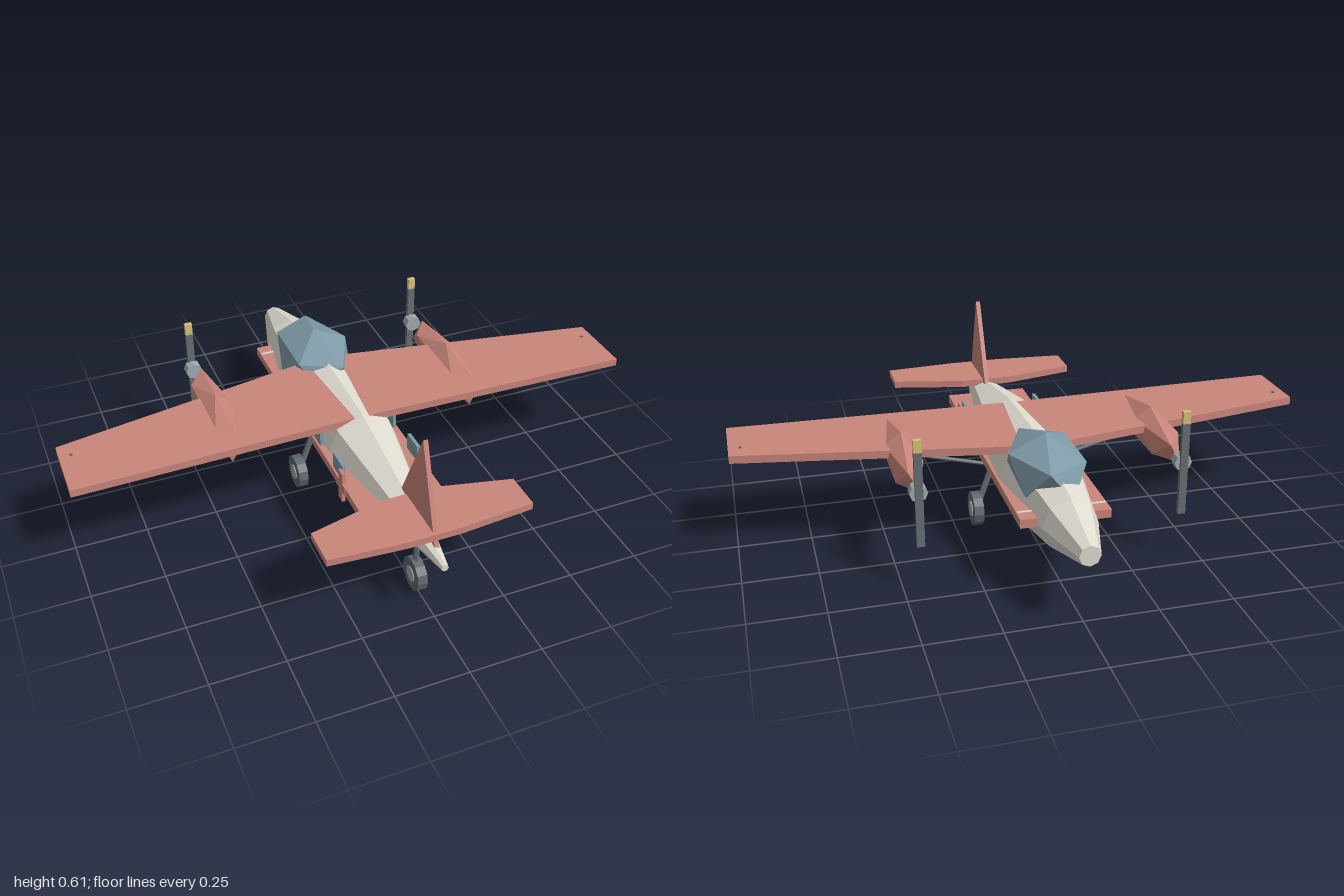
import * as THREE from 'three';
import { ConvexGeometry } from 'three/addons/geometries/ConvexGeometry.js';

const mat = (color) => new THREE.MeshStandardMaterial({ color, flatShading: true });

export function createModel() {
  const model = new THREE.Group();
  const red = mat(0xc9857a), cream = mat(0xdedbd0), glass = mat(0x7f9ba8);
  const dark = mat(0x666e73), rubber = mat(0x5f676c), metal = mat(0x9fabad), yellow = mat(0xd8c07a);

  const add = (name, geometry, material, x = 0, y = 0, z = 0) => {
    const mesh = new THREE.Mesh(geometry, material);
    mesh.name = name;
    mesh.position.set(x, y, z);
    model.add(mesh);
    return mesh;
  };
  const box = (name, material, w, h, d, x, y, z) =>
    add(name, new THREE.BoxGeometry(w, h, d), material, x, y, z);

  // Round bar between two points
  const bar = (name, a, b, r, material, sides = 6) => {
    const from = new THREE.Vector3(...a), to = new THREE.Vector3(...b);
    const dir = to.clone().sub(from);
    const mesh = add(name, new THREE.CylinderGeometry(r, r, dir.length(), sides), material);
    mesh.position.copy(from).add(to).multiplyScalar(0.5);
    mesh.quaternion.setFromUnitVectors(new THREE.Vector3(0, 1, 0), dir.normalize());
    return mesh;
  };

  // Flat mirrored plate from a half outline of [x, z] points
  const plate = (name, half, bottom, thickness) => {
    const outline = [...half, ...half.map(([x, z]) => [-x, z]).reverse()];
    const shape = new THREE.Shape(outline.map(([x, z]) => new THREE.Vector2(x, -z)));
    const g = new THREE.ExtrudeGeometry(shape, { depth: thickness, bevelEnabled: false });
    g.rotateX(-Math.PI / 2);
    add(name, g, red, 0, bottom, 0);
  };

  // Stretched icosahedron standing on a vertex
  const gem = (name, rx, ry, rz, material, x, y, z) => {
    const pts = [new THREE.Vector3(0, ry, 0), new THREE.Vector3(0, -ry, 0)];
    for (let i = 0; i < 10; i++) {
      const a = (i * Math.PI) / 5;
      const h = i % 2 ? -0.447 : 0.447;
      pts.push(new THREE.Vector3(0.894 * rx * Math.cos(a), h * ry, 0.894 * rz * Math.sin(a)));
    }
    add(name, new ConvexGeometry(pts), material, x, y, z);
  };

  // Eight-sided fuselage
  const profile = [[0, -0.8], [0.035, -0.8], [0.092, -0.6], [0.148, -0.26], [0.132, 0.15], [0.012, 0.8], [0, 0.8]];
  const hull = new THREE.LatheGeometry(profile.map(([r, z]) => new THREE.Vector2(r, z)), 8);
  hull.rotateX(Math.PI / 2);
  add('fuselage', hull, cream, 0, 0.255, 0);
  gem('canopy', 0.14, 0.11, 0.23, glass, 0.003, 0.345, -0.333);

  // Wing, tailplane and fin
  plate('wing', [[0.08, 0.14], [1, 0.16], [1, -0.08], [0.1, -0.242]], 0.35, 0.027);
  plate('tailplane', [[0.09, 0.725], [0.35, 0.705], [0.35, 0.575], [0.09, 0.515]], 0.303, 0.025);
  const finShape = new THREE.Shape([[0.73, 0.275], [0.615, 0.614], [0.475, 0.318]].map(([z, y]) => new THREE.Vector2(z, y)));
  const fin = new THREE.ExtrudeGeometry(finShape, { depth: 0.016, bevelEnabled: false });
  fin.rotateY(-Math.PI / 2);
  add('fin', fin, red, 0.013, 0, 0);

  // Thin rod across the nose
  box('noseRod', cream, 0.29, 0.006, 0.008, 0, 0.272, -0.51);

  // Wheel with pale hub discs
  const wheel = (x, z) => {
    const tyre = new THREE.CylinderGeometry(0.06, 0.06, 0.034, 12).rotateZ(Math.PI / 2);
    const hub = new THREE.CylinderGeometry(0.028, 0.028, 0.04, 10).rotateZ(Math.PI / 2);
    add('tyre', tyre, rubber, x, 0.06, z);
    add('wheelHub', hub, metal, x, 0.06, z);
  };
  bar('tailGearLeg', [0, 0.06, 0.6], [0, 0.23, 0.6], 0.01, dark);
  wheel(0, 0.6);

  for (const s of [1, -1]) {
    // Side stripe with its cross bar
    box('sideStripe', red, 0.09, 0.03, 1.08, s * 0.104, 0.257, -0.02);
    box('crossBar', red, 0.012, 0.115, 0.034, s * 0.145, 0.257, 0.317);
    box('crossArm', red, 0.012, 0.034, 0.08, s * 0.145, 0.257, 0.317);

    // Cabin windows
    for (const z of [0.27, 0.07]) box('window', glass, 0.012, 0.075, 0.08, s * 0.136, 0.293, z);

    // Engine nacelle and propeller
    const x = s * 0.44;
    gem('nacelle', 0.064, 0.077, 0.282, red, x, 0.338, -0.118);
    const hub = new THREE.CylinderGeometry(0.03, 0.03, 0.035, 8).rotateX(Math.PI / 2);
    add('propellerHub', hub, metal, x, 0.338, -0.413);
    box('propellerBlade', dark, 0.026, 0.325, 0.016, x, 0.3175, -0.432);
    box('propellerTip', yellow, 0.026, 0.042, 0.016, x, 0.501, -0.432);

    // Wing strut, wing tip stud and main landing gear
    bar('wingStrut', [s * 0.62, 0.355, -0.045], [s * 0.12, 0.227, -0.045], 0.007, dark);
    bar('wingTipStud', [s * 0.96, 0.348, -0.02], [s * 0.96, 0.38, -0.02], 0.006, rubber);
    bar('mainGearLeg', [s * 0.17, 0.06, -0.04], [s * 0.105, 0.24, -0.04], 0.011, dark);
    wheel(s * 0.172, -0.04);
  }
  return model;
}
